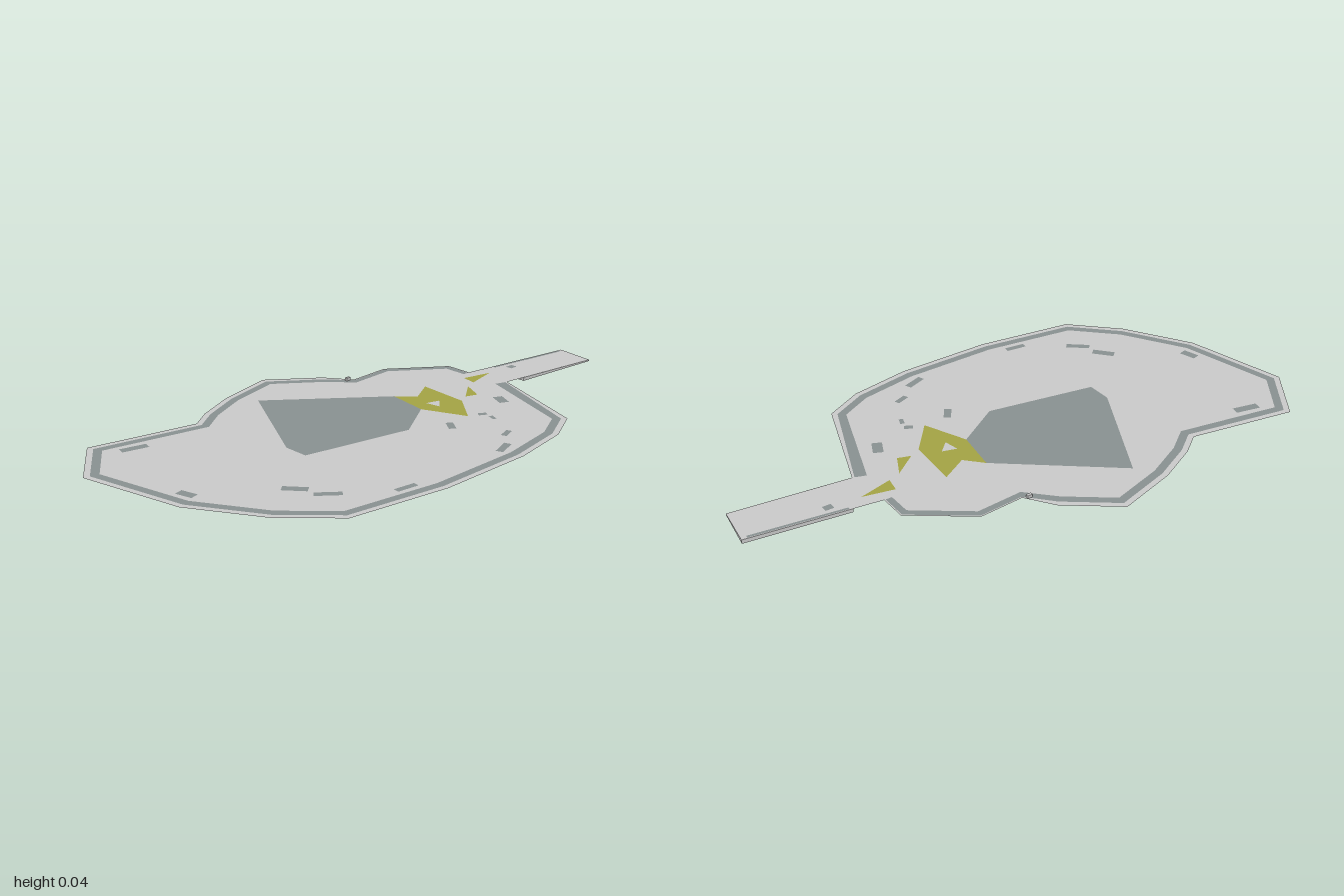
import * as THREE from 'three';

const TOP = 0.026;
const GREY = 0xcccccc, DARK = 0x8a9292, OLIVE = 0xa5a545;

// Outer edge of the ground as [x, z], from the left of the path round to its right
const EDGE = [
  [-0.10, -0.55], [-0.20, -0.55], [-0.345, -0.355], [-0.335, -0.195], [-0.43, -0.13],
  [-0.56, 0.04], [-0.50, 0.255], [-0.43, 0.40], [-0.375, 0.475], [-0.445, 0.85],
  [-0.25, 0.99], [0.12, 0.91], [0.355, 0.77], [0.51, 0.615], [0.56, 0.265],
  [0.555, -0.08], [0.515, -0.30], [0.445, -0.435], [0.065, -0.57],
];
const PATH_END = [[0.115, -0.98], [-0.035, -1.0]];

// Centre x, centre z, length, width, angle in degrees
const STONES = [
  [0.17, -0.415, 0.06, 0.035, 25], [0.22, -0.265, 0.03, 0.02, -60], [0.265, -0.265, 0.03, 0.015, 20],
  [0.22, -0.11, 0.055, 0.025, 35], [0.39, -0.19, 0.05, 0.02, 70], [0.465, -0.09, 0.075, 0.025, 70],
  [0.47, 0.35, 0.075, 0.022, -83], [0.345, 0.545, 0.085, 0.025, -50], [0.25, 0.59, 0.08, 0.03, -40],
  [0.06, 0.84, 0.06, 0.03, -15], [-0.34, 0.745, 0.09, 0.03, -77], [-0.035, -0.71, 0.03, 0.025, 90],
];

function material(color) {
  return new THREE.MeshStandardMaterial({ color, side: THREE.DoubleSide, flatShading: true });
}

// Flat horizontal sheet from [x, z] corners
function sheet(name, color, outline, holes = []) {
  const toV = ([x, z]) => new THREE.Vector2(x, -z);
  const shape = new THREE.Shape(outline.map(toV));
  shape.holes = holes.map((h) => new THREE.Path(h.map(toV)));
  const geo = new THREE.ShapeGeometry(shape).rotateX(-Math.PI / 2).translate(0, TOP, 0);
  const mesh = new THREE.Mesh(geo, material(color));
  mesh.name = name;
  return mesh;
}

// Mitred inward offset of the open edge line
function inset(line, distance) {
  const normal = (a, b) => {
    const dx = b[0] - a[0], dz = b[1] - a[1], l = Math.hypot(dx, dz);
    return [dz / l, -dx / l];
  };
  return line.map((p, i) => {
    const n1 = normal(line[Math.max(i - 1, 0)], line[Math.max(i, 1)]);
    const last = line.length - 1;
    const n2 = normal(line[Math.min(i, last - 1)], line[Math.min(i + 1, last)]);
    const k = distance(i) / (1 + n1[0] * n2[0] + n1[1] * n2[1]);
    return [p[0] + (n1[0] + n2[0]) * k, p[1] + (n1[1] + n2[1]) * k];
  });
}

function stoneCorners([x, z, l, w, deg]) {
  const a = THREE.MathUtils.degToRad(deg), c = Math.cos(a), s = Math.sin(a);
  return [[-1, -1], [1, -1], [1, 1], [-1, 1]].map(([u, v]) => {
    const p = (u * l) / 2, q = (v * w) / 2;
    return [x + p * c - q * s, z + p * s + q * c];
  });
}

// Walls and sloping underside below the path, meeting at one low point
function pathBase() {
  const top = [[-0.085, -0.65], [0.075, -0.65], [0.115, -0.98], [-0.035, -1.0]];
  const low = [0.013, 0.013, 0.021, 0.012];
  const keel = [-0.04, 0, -0.72];
  const pos = [];
  top.forEach(([x, z], i) => {
    const j = (i + 1) % 4, [x2, z2] = top[j];
    const a = [x, TOP, z], b = [x2, TOP, z2], c = [x2, low[j], z2], d = [x, low[i], z];
    pos.push(...a, ...d, ...c, ...a, ...c, ...b);
    pos.push(...d, ...keel, ...c);
  });
  const geo = new THREE.BufferGeometry();
  geo.setAttribute('position', new THREE.Float32BufferAttribute(pos, 3));
  geo.computeVertexNormals();
  const mesh = new THREE.Mesh(geo, material(GREY));
  mesh.name = 'pathBase';
  return mesh;
}

export function createModel() {
  const model = new THREE.Group();
  model.name = 'groundPlot';

  // Border rings: pale rim outside, dark band inside it
  const bandOuter = inset(EDGE, (i) => (i < 4 ? 0.005 : i === 18 ? 0.008 : 0.02));
  const bandInner = inset(EDGE, (i) => (i < 4 ? 0.028 : 0.048));
  model.add(sheet('rim', GREY, [...EDGE, ...[...bandOuter].reverse()]));
  model.add(sheet('borderBand', DARK, [...bandOuter, ...[...bandInner].reverse()]));

  // Central patch and the olive patch that touches it
  const a = [-0.11, -0.175], b = [0.045, -0.15];
  const patch = [[0.15, 0.015], [0.08, 0.40], [-0.01, 0.40], [-0.405, 0.19]];
  const olive = [[-0.05, -0.23], [-0.105, -0.325], [0.085, -0.31], [0.2, -0.215]];
  const gap = [[0.03, -0.255], [0.07, -0.215], [0.015, -0.205]];
  model.add(sheet('centralPatch', DARK, [a, b, ...patch]));
  model.add(sheet('olivePatch', OLIVE, [a, ...olive, b], [gap]));
  model.add(sheet('olivePatchGap', GREY, gap));

  // Small olive shards and the dark strip along the path
  const shards = [
    [[-0.045, -0.6], [-0.015, -0.48], [-0.07, -0.49]],
    [[0, -0.435], [0.08, -0.395], [0.065, -0.35]],
  ];
  shards.forEach((s) => model.add(sheet('oliveShard', OLIVE, s)));
  const strip = [[-0.08, -0.66], [-0.071, -0.66], [-0.024, -0.98], [-0.034, -0.98]];
  model.add(sheet('pathStrip', DARK, strip));

  // Scattered flat stones
  const stones = STONES.map(stoneCorners);
  stones.forEach((s) => model.add(sheet('flatStone', DARK, s)));

  // Ground and path, cut out around everything laid into it
  const outline = [...bandInner, EDGE[EDGE.length - 1], ...PATH_END, EDGE[0]];
  model.add(sheet('ground', GREY, outline, [[a, ...olive, b, ...patch], ...shards, strip, ...stones]));

  model.add(pathBase());

  // Small marker block at the edge
  const block = new THREE.Mesh(new THREE.BoxGeometry(0.01, 0.012, 0.018), material(GREY));
  block.name = 'markerBlock';
  block.position.set(-0.345, TOP + 0.005, -0.175);
  model.add(block);

  return model;
}
